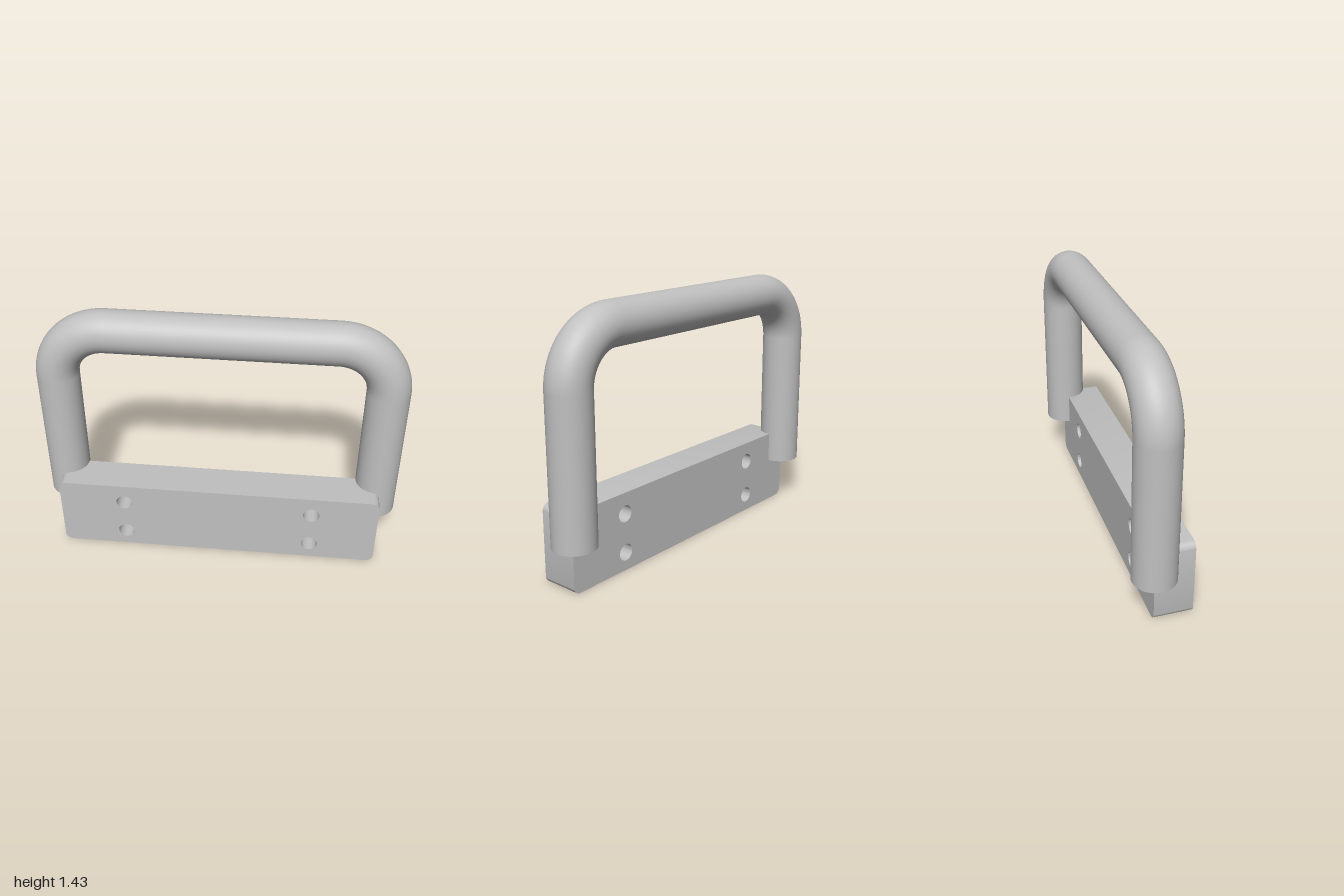
import * as THREE from 'three';
import { toCreasedNormals } from 'three/addons/utils/BufferGeometryUtils.js';

const TUBE_R = 0.116, LEG_X = 0.884, BEND_R = 0.276, TUBE_Z = -0.045;
const BAR_Y = 1.316, LEG_BOTTOM = 0.26, SIDES = 48;
const BEND_X = LEG_X - BEND_R, BEND_Y = BAR_Y - BEND_R;

// Rounded rectangle with four through holes
function plateGeometry() {
  const w = 0.9, h = 0.432, r = 0.04;
  const shape = new THREE.Shape();
  shape.absarc(w - r, r, r, -Math.PI / 2, 0, false);
  shape.absarc(w - r, h - r, r, 0, Math.PI / 2, false);
  shape.absarc(-w + r, h - r, r, Math.PI / 2, Math.PI, false);
  shape.absarc(-w + r, r, r, Math.PI, Math.PI * 1.5, false);
  shape.closePath();
  for (const x of [-0.53, 0.53]) {
    for (const y of [0.1, 0.316]) {
      const hole = new THREE.Path();
      hole.absarc(x, y, 0.046, 0, Math.PI * 2, true);
      shape.holes.push(hole);
    }
  }
  const geometry = new THREE.ExtrudeGeometry(shape, { depth: 0.21, bevelEnabled: false, curveSegments: 16 });
  return toCreasedNormals(geometry, 0.6);
}

export function createModel() {
  const model = new THREE.Group();
  model.name = 'handle';
  const metal = new THREE.MeshStandardMaterial({ color: 0xc0c0c0 });
  metal.name = 'grey metal';

  const add = (parent, name, geometry, x, y, z) => {
    const mesh = new THREE.Mesh(geometry, metal);
    mesh.name = name;
    mesh.position.set(x, y, z);
    parent.add(mesh);
    return mesh;
  };

  // Mounting plate
  add(model, 'mountingPlate', plateGeometry(), 0, 0, -0.048);

  // Round grip: crossbar, quarter bends and legs
  const grip = new THREE.Group();
  grip.name = 'grip';
  model.add(grip);
  const bar = new THREE.CylinderGeometry(TUBE_R, TUBE_R, BEND_X * 2, SIDES, 1, true);
  add(grip, 'crossbar', bar, 0, BAR_Y, TUBE_Z).rotation.z = Math.PI / 2;

  const legLength = BEND_Y - LEG_BOTTOM;
  const leg = new THREE.CylinderGeometry(TUBE_R, TUBE_R, legLength, SIDES);
  const bend = new THREE.TorusGeometry(BEND_R, TUBE_R, SIDES, 24, Math.PI / 2);
  for (const [side, s] of [['left', 1], ['right', -1]]) {
    add(grip, side + 'Leg', leg, s * LEG_X, LEG_BOTTOM + legLength / 2, TUBE_Z);
    const corner = add(grip, side + 'Bend', bend, s * BEND_X, BEND_Y, TUBE_Z);
    corner.rotation.z = s > 0 ? 0 : Math.PI / 2;
  }
  return model;
}
